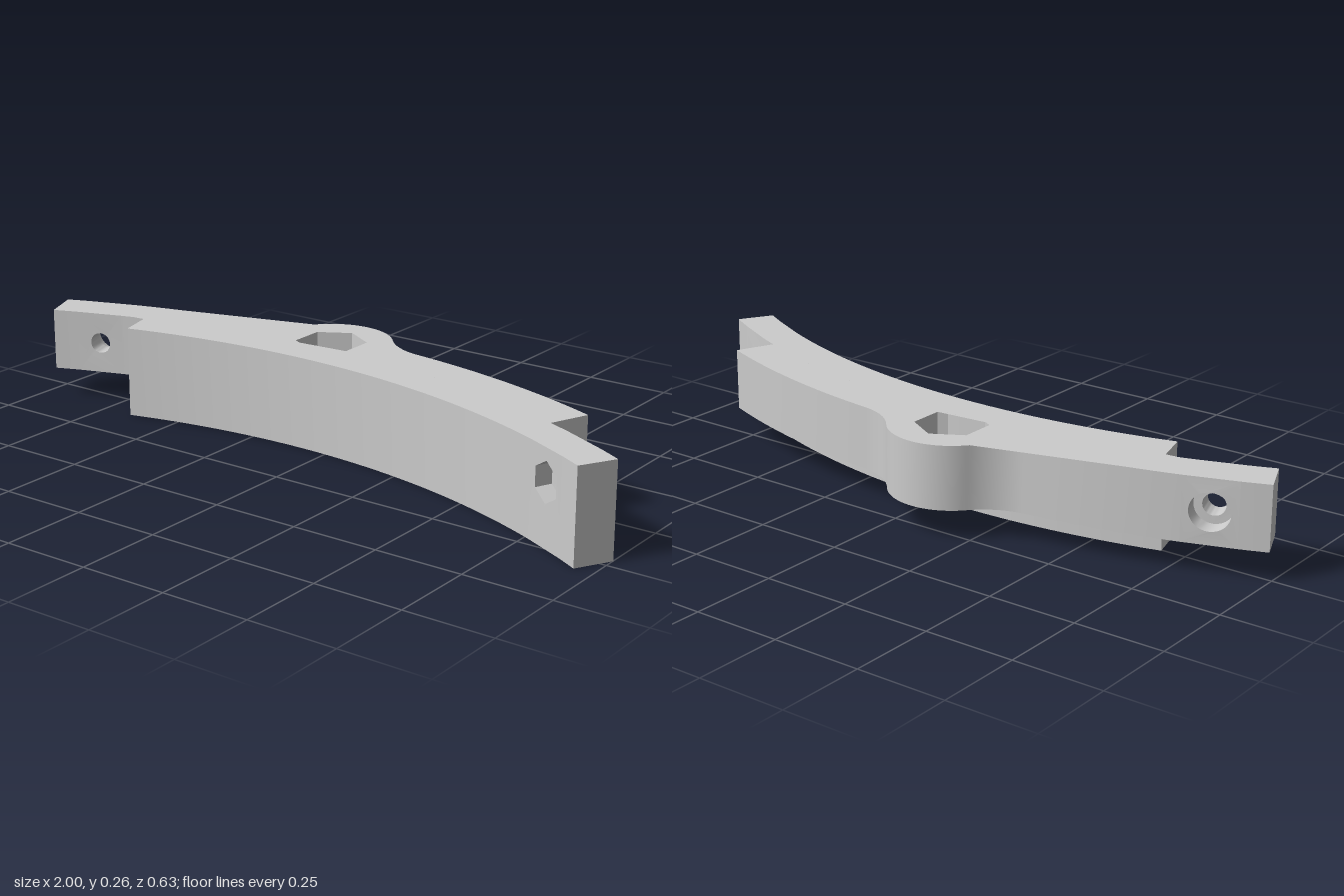
import * as THREE from 'three';
import { mergeVertices, toCreasedNormals } from 'three/addons/utils/BufferGeometryUtils.js';

const CX = -0.107, CZ = 2.137;                 // centre of curvature (plan)
const R_IN = 2.106, R_MID = 2.216, R_OUT = 2.333;
const TOP = 0.262, STEP = 0.083, HOLE_Y = 0.172;
const DEG = Math.PI / 180;
const HALF = 0.07;                             // half width of the drilled blocks
const D = HALF / R_MID;                        // the same as an angle
const A_LEFT = -18.75 * DEG, A_RIGHT = 26.25 * DEG;

const material = new THREE.MeshStandardMaterial({ color: 0xcccccc });

// Points on an arc; angle 0 is +y and grows clockwise
function arc(cx, cy, r, a0, a1, n) {
  return Array.from({ length: n + 1 }, (_, i) => {
    const a = a0 + (a1 - a0) * i / n;
    return new THREE.Vector2(cx + r * Math.sin(a), cy + r * Math.cos(a));
  });
}
const band = (r, a0, a1, n) => arc(CX, -CZ, r, a0, a1, n);
// Closed counter-clockwise polygon (circle or hexagon)
const ring = (cx, cy, r, n) => arc(cx, cy, r, 0, -2 * Math.PI, n).slice(0, n);

function mesh(name, geometry) {
  const m = new THREE.Mesh(toCreasedNormals(geometry, 30 * DEG), material);
  m.name = name;
  return m;
}

// Plain curved bar between two radii, angles and heights
function sector(name, r0, r1, a0, a1, y0, y1) {
  const n = Math.max(4, Math.round((a1 - a0) / DEG));
  const shape = new THREE.Shape([...band(r0, a0, a1, n), ...band(r1, a1, a0, n)]);
  const g = new THREE.ExtrudeGeometry(shape, { depth: y1 - y0, bevelEnabled: false });
  g.rotateX(-Math.PI / 2).translate(0, y0, 0);
  return mesh(name, g);
}

// Block from z0 to z2 with a pocket sunk from z2 to z1 and a hole going on to z0
function drilledBlock(outline, pocket, hole, z0, z1, z2) {
  const pos = [];
  const cap = (outer, inner, z, up) => {
    const shape = new THREE.Shape(outer);
    shape.holes.push(new THREE.Path(inner));
    const g = new THREE.ShapeGeometry(shape).toNonIndexed();
    const p = g.attributes.position;
    for (let i = 0; i < p.count; i += 3)
      for (const k of up ? [0, 1, 2] : [0, 2, 1]) pos.push(p.getX(i + k), p.getY(i + k), z);
  };
  const wall = (pts, a, b, outward) => pts.forEach((p, i) => {
    let q = pts[(i + 1) % pts.length];
    if (!outward) [p, q] = [q, p];
    pos.push(p.x, p.y, a, q.x, q.y, a, q.x, q.y, b, p.x, p.y, a, q.x, q.y, b, p.x, p.y, b);
  });
  cap(outline, pocket, z2, true);
  cap(pocket, hole, z1, true);
  cap(outline, hole, z0, false);
  wall(outline, z0, z2, true);
  wall(pocket, z1, z2, false);
  wall(hole, z0, z1, false);
  const g = new THREE.BufferGeometry();
  g.setAttribute('position', new THREE.Float32BufferAttribute(pos, 3));
  return g;
}

// Drilled block stood on the curve: dir 1 opens its pocket to the front, -1 to the back
function lapBlock(name, angle, dir, y0, thick, depth, pocketR, sides) {
  const rect = [[-HALF, y0], [HALF, y0], [HALF, TOP], [-HALF, TOP]]
    .map(([x, y]) => new THREE.Vector2(x, y));
  const g = drilledBlock(rect, ring(0, HOLE_Y, pocketR, sides), ring(0, HOLE_Y, 0.03, 32),
    0, thick - depth, thick);
  const p = g.attributes.position;
  for (let i = 0; i < p.count; i++) {
    const a = angle + dir * p.getX(i) / R_MID;
    const r = R_MID - dir * p.getZ(i);
    p.setXYZ(i, CX + r * Math.sin(a), p.getY(i), CZ - r * Math.cos(a));
  }
  return mesh(name, g);
}

// Upper back bar with the rounded boss blended in by two fillets
function bossBar() {
  const bossY = 0.142, bossR = 0.173, fillet = 0.2;
  const dist = CZ + bossY, d1 = R_OUT + fillet, d2 = bossR + fillet;
  const v = (d1 * d1 - d2 * d2 + dist * dist) / (2 * dist);
  const h = Math.sqrt(d1 * d1 - v * v);
  const t = Math.atan2(h, v), b = Math.atan2(h, v - dist);
  const a0 = A_LEFT + D, a1 = 22.5 * DEG;
  const outline = [
    ...band(R_MID, a0, a1, 40),
    ...band(R_OUT, a1, t, 16),
    ...arc(CX + h, v - CZ, fillet, t + Math.PI, b + Math.PI, 12).slice(1),
    ...arc(CX, bossY, bossR, b, -b, 24).slice(1),
    ...arc(CX - h, v - CZ, fillet, -b - Math.PI, -t - Math.PI, 12).slice(1),
    ...band(R_OUT, -t, a0, 12).slice(1),
  ];
  const g = drilledBlock(outline, ring(CX, bossY, 0.1, 6), ring(CX, bossY, 0.055, 40),
    STEP, 0.145, TOP);
  return mesh('bossBar', g.rotateX(-Math.PI / 2));
}

export function createModel() {
  const group = new THREE.Group();
  group.name = 'curvedBracketSegment';
  group.add(
    // full-height front bar, running on into the right-hand lap
    sector('frontBar', R_IN, R_MID, -15 * DEG, A_RIGHT - D, 0, TOP),
    lapBlock('frontLapNutPocket', A_RIGHT, 1, 0, R_MID - R_IN, 0.05, 0.056, 6),
    sector('frontLapEnd', R_IN, R_MID, A_RIGHT + D, 30 * DEG, 0, TOP),
    // raised back bar with boss, running on into the opposite lap
    bossBar(),
    lapBlock('backLapCounterbore', A_LEFT, -1, STEP, R_OUT - R_MID, 0.055, 0.052, 32),
    sector('backLapEnd', R_MID, R_OUT, -22.5 * DEG, A_LEFT - D, STEP, TOP),
  );
  return group;
}
